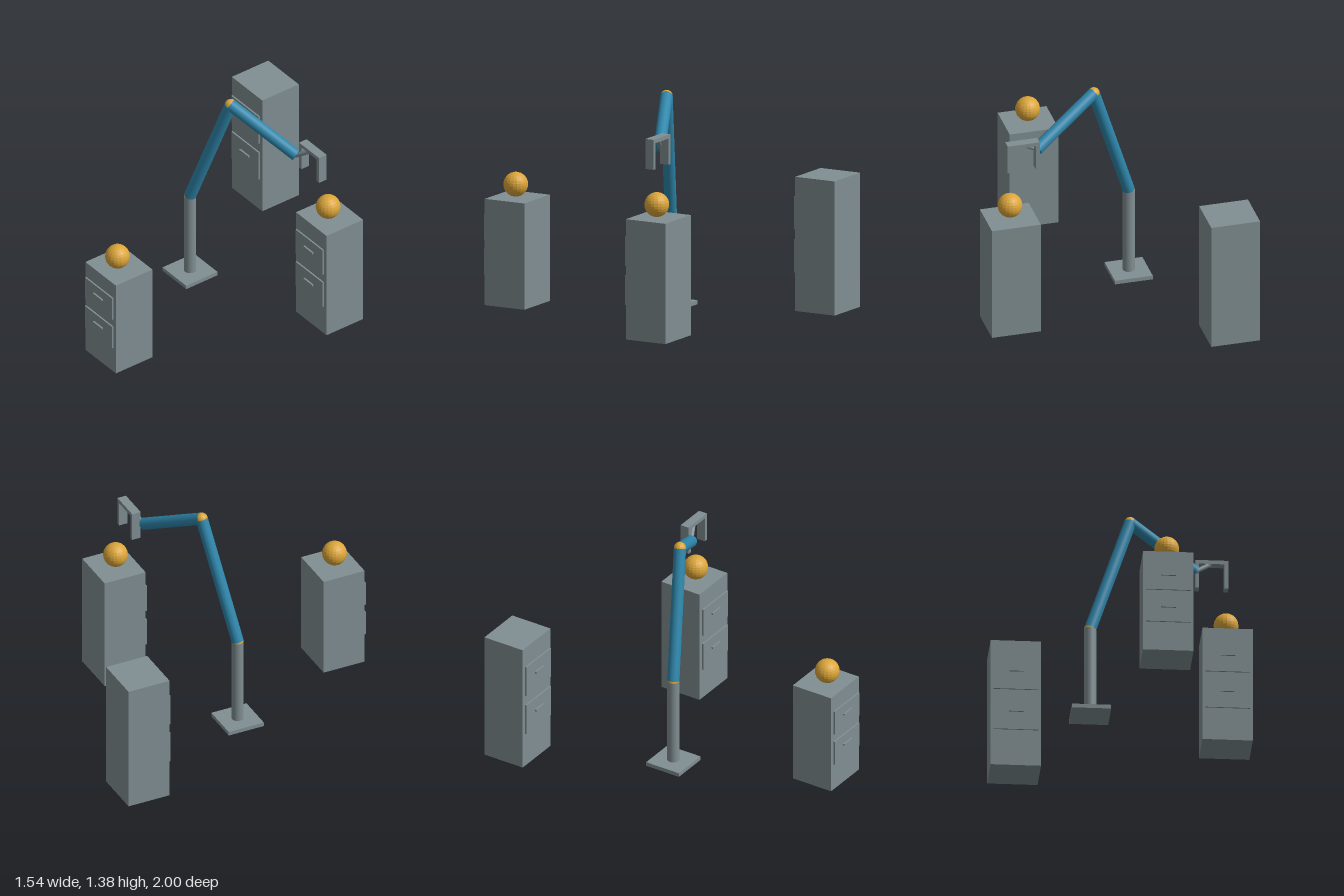
import * as THREE from 'three';

export function createModel() {
  const root = new THREE.Group();
  root.name = 'robotArmScene';

  const material = (name, color, flatShading = false) => {
    const m = new THREE.MeshStandardMaterial({ color, flatShading });
    m.name = name;
    return m;
  };
  const grey = material('steelGrey', 0x808e92);
  const blue = material('armBlue', 0x2e86ab);
  const gold = material('gold', 0xdba53a, true);

  const add = (parent, name, geometry, mat, x, y, z) => {
    const mesh = new THREE.Mesh(geometry, mat);
    mesh.name = name;
    mesh.position.set(x, y, z);
    parent.add(mesh);
    return mesh;
  };
  const box = (parent, name, w, h, d, x, y, z) =>
    add(parent, name, new THREE.BoxGeometry(w, h, d), grey, x, y, z);

  // Cylinder spanning two points
  const rod = (parent, name, a, b, radius, mat, sides = 32) => {
    const dir = b.clone().sub(a);
    const mid = a.clone().add(b).multiplyScalar(0.5);
    const mesh = add(parent, name,
      new THREE.CylinderGeometry(radius, radius, dir.length(), sides), mat, mid.x, mid.y, mid.z);
    mesh.quaternion.setFromUnitVectors(new THREE.Vector3(0, 1, 0), dir.normalize());
  };
  const ball = (parent, name, radius, p) =>
    add(parent, name, new THREE.SphereGeometry(radius, 20, 14), gold, p.x, p.y, p.z);

  // Cabinets: body, two floating drawer fronts with handles, optional ball on top
  const cabinets = [
    { name: 'backCabinet', x: -0.622, front: -0.725, h: 0.823, hasBall: false },
    { name: 'frontCabinet', x: 0.167, front: 0.973, h: 0.652, hasBall: true },
    { name: 'sideCabinet', x: 0.619, front: -0.271, h: 0.738, hasBall: true },
  ];
  for (const { name, x, front, h, hasBall } of cabinets) {
    const cabinet = new THREE.Group();
    cabinet.name = name;
    cabinet.position.set(x, 0, front);
    root.add(cabinet);
    box(cabinet, 'body', 0.304, h, 0.275, 0, h / 2, -0.1375);
    for (const [level, c] of [['upper', 0.727], ['lower', 0.403]]) {
      box(cabinet, level + 'Drawer', 0.27, 0.245 * h, 0.01, 0, c * h, 0.011);
      box(cabinet, level + 'Handle', 0.088, 0.016 * h, 0.011, 0, (c + 0.025) * h, 0.0215);
    }
    if (hasBall) ball(cabinet, 'ball', 0.075, new THREE.Vector3(0, h + 0.076, -0.127));
  }

  // Robot arm: plate, post and two links with ball joints
  const arm = new THREE.Group();
  arm.name = 'robotArm';
  root.add(arm);
  const foot = new THREE.Vector3(-0.23, 0.02, 0);
  const shoulder = new THREE.Vector3(-0.23, 0.576, 0);
  const elbow = new THREE.Vector3(0.02, 1.343, -0.117);
  const wrist = new THREE.Vector3(0.425, 1.122, -0.305);
  const hand = new THREE.Vector3(0.528, 1.198, -0.352);
  box(arm, 'basePlate', 0.236, 0.025, 0.236, -0.23, 0.0125, 0);
  rod(arm, 'post', foot, shoulder, 0.037, grey);
  ball(arm, 'shoulderJoint', 0.037, shoulder);
  rod(arm, 'upperArm', shoulder, elbow, 0.037, blue);
  ball(arm, 'elbowJoint', 0.037, elbow);
  rod(arm, 'forearm', elbow, wrist, 0.037, blue);

  // Gripper: strut, crossbar and two fingers
  const gripper = new THREE.Group();
  gripper.name = 'gripper';
  arm.add(gripper);
  rod(gripper, 'strut', wrist, hand, 0.014, grey, 16);
  box(gripper, 'crossbar', 0.2, 0.024, 0.057, hand.x, hand.y, hand.z);
  for (const side of [-1, 1]) {
    box(gripper, side < 0 ? 'rightFinger' : 'leftFinger', 0.024, 0.16, 0.057,
      hand.x + side * 0.088, 1.106, hand.z);
  }
  return root;
}
